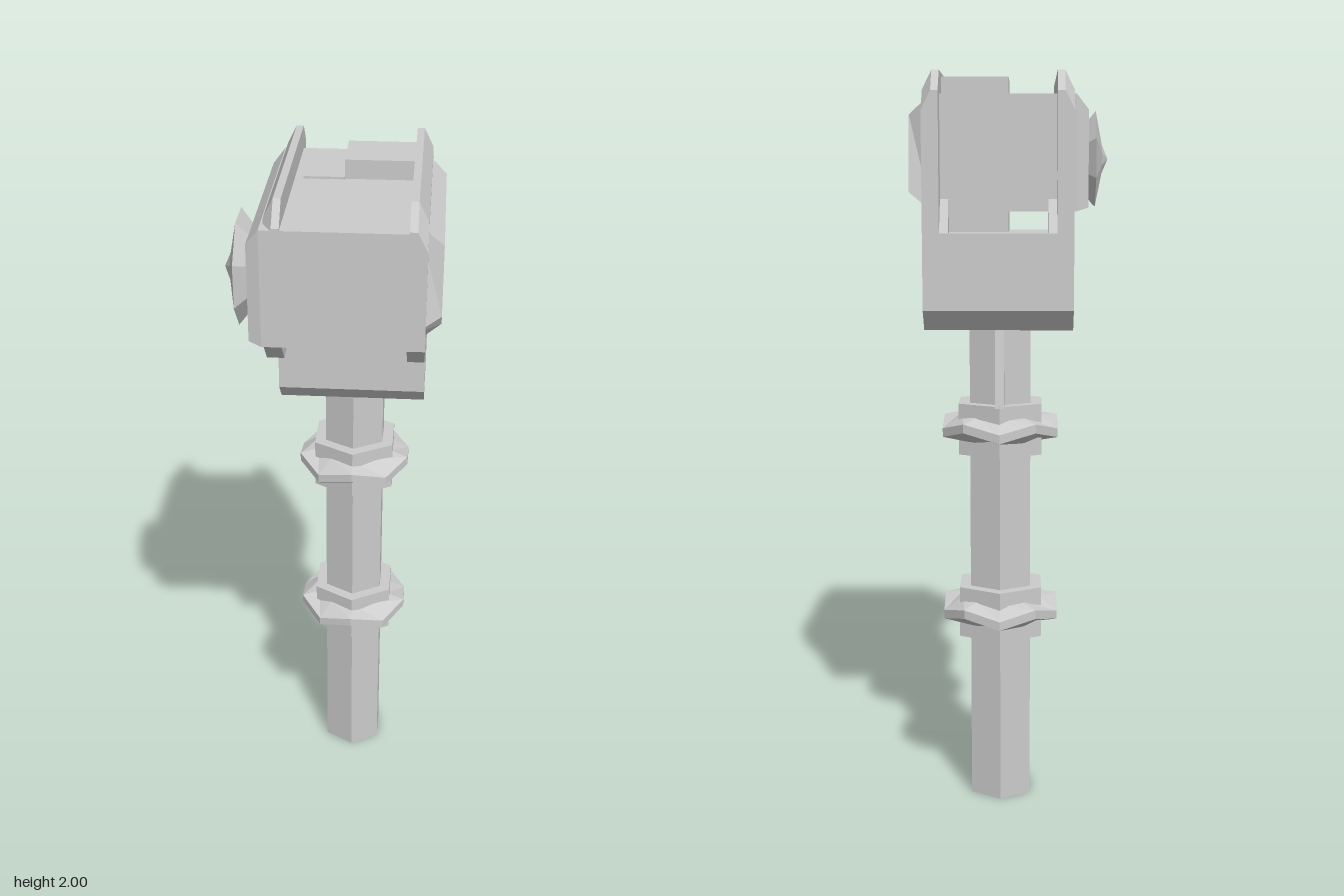
import * as THREE from 'three';

const material = new THREE.MeshStandardMaterial({ color: 0xcccccc, flatShading: true });
const openMaterial = new THREE.MeshStandardMaterial({ color: 0xcccccc, flatShading: true, side: THREE.DoubleSide });

const POLE = { x: 0.033, z: -0.165 };

function add(parent, name, geometry, mat = material) {
  const mesh = new THREE.Mesh(geometry, mat);
  mesh.name = name;
  parent.add(mesh);
  return mesh;
}

function box(x0, x1, y0, y1, z0, z1) {
  return new THREE.BoxGeometry(x1 - x0, y1 - y0, z1 - z0)
    .translate((x0 + x1) / 2, (y0 + y1) / 2, (z0 + z1) / 2);
}

// Skin counter-clockwise [z, y] outlines along increasing x, with capped ends.
function loft(sections) {
  const n = sections[0].outline.length;
  const positions = [], index = [];
  for (const { x, outline } of sections) for (const [z, y] of outline) positions.push(x, y, z);
  for (let s = 0; s < sections.length - 1; s++) {
    for (let i = 0; i < n; i++) {
      const a = s * n + i, b = s * n + (i + 1) % n;
      index.push(a, a + n, b, b, a + n, b + n);
    }
  }
  const cap = (section, offset, flip) => {
    const points = section.outline.map(([z, y]) => new THREE.Vector2(z, y));
    for (const [a, b, c] of THREE.ShapeUtils.triangulateShape(points, [])) {
      index.push(offset + a, offset + (flip ? c : b), offset + (flip ? b : c));
    }
  };
  cap(sections[0], 0, false);
  cap(sections[sections.length - 1], (sections.length - 1) * n, true);
  const geometry = new THREE.BufferGeometry();
  geometry.setAttribute('position', new THREE.Float32BufferAttribute(positions, 3));
  geometry.setIndex(index);
  const flat = geometry.toNonIndexed();
  flat.computeVertexNormals();
  return flat;
}

const rectangle = (z0, z1, y0, y1) => [[z0, y0], [z1, y0], [z1, y1], [z0, y1]];

// Faceted flange whose outer rim zigzags up and down.
function flangeGeometry() {
  const profile = [[0.11, -0.035], [0.165, -0.012], [0.165, 0.012], [0.11, 0.035]];
  const geometry = new THREE.LatheGeometry(profile.map(([r, y]) => new THREE.Vector2(r, y)), 10);
  const p = geometry.attributes.position;
  for (let i = 0; i < p.count; i++) {
    const ring = Math.floor(i / profile.length), row = i % profile.length;
    if (row === 1 || row === 2) p.setY(i, p.getY(i) + (ring % 2 ? -0.012 : 0.012));
  }
  return geometry;
}

export function createModel() {
  const model = new THREE.Group();
  model.name = 'poleMountedCamera';

  // Hollow hexagonal pole
  const pole = new THREE.Group();
  pole.name = 'pole';
  pole.position.set(POLE.x, 0, POLE.z);
  model.add(pole);
  add(pole, 'poleShaft', new THREE.CylinderGeometry(0.095, 0.095, 1.335, 6, 1, true).translate(0, 0.6675, 0), openMaterial);

  // Two collars, each with a zigzag flange
  for (const y of [0.54, 1.055]) {
    add(pole, 'collar', new THREE.CylinderGeometry(0.13, 0.13, 0.14, 6)).position.y = y;
    add(pole, 'collarFlange', flangeGeometry()).position.y = y;
  }

  // Rear fin tapering up the pole
  add(pole, 'poleFin', loft([
    { x: -0.012, outline: [[-0.13, 1.12], [-0.08, 1.12], [-0.08, 1.33], [-0.096, 1.33]] },
    { x: 0.012, outline: [[-0.13, 1.12], [-0.08, 1.12], [-0.08, 1.33], [-0.096, 1.33]] },
  ]));

  // Chamfered mounting block under the head
  const blockOutline = [[-0.285, 1.33], [0, 1.33], [0.05, 1.38], [0.05, 1.585], [-0.335, 1.585], [-0.335, 1.385]];
  add(model, 'mountBlock', loft([
    { x: -0.16, outline: blockOutline },
    { x: 0.23, outline: blockOutline },
  ]));

  // L-shaped side plates with a bevel along the outer top edge
  const plateOutline = [
    [-0.285, 1.33], [0, 1.33], [0.05, 1.38], [0.05, 1.585], [0.285, 1.585], [0.34, 1.64],
    [0.34, 1.945], [0.285, 2], [-0.28, 2], [-0.335, 1.945], [-0.335, 1.385],
  ];
  const bevelled = plateOutline.map(([z, y]) => [z, y > 1.9 ? y - 0.05 : y]);
  add(model, 'rightSidePlate', loft([
    { x: -0.162, outline: bevelled },
    { x: -0.137, outline: plateOutline },
    { x: -0.118, outline: plateOutline },
  ]));
  add(model, 'leftSidePlate', loft([
    { x: 0.188, outline: plateOutline },
    { x: 0.207, outline: plateOutline },
    { x: 0.232, outline: bevelled },
  ]));

  // Main housing, slightly chamfered on its right side
  const housing = rectangle(-0.275, 0.34, 1.64, 1.94);
  add(model, 'housing', loft([
    { x: -0.2, outline: rectangle(-0.265, 0.33, 1.65, 1.9) },
    { x: -0.168, outline: housing },
    { x: 0.21, outline: housing },
  ]));

  // Tapered access panel on the left side
  add(model, 'leftPanel', loft([
    { x: 0.21, outline: [[-0.275, 1.64], [0.29, 1.645], [0.338, 1.69], [0.285, 1.94], [-0.275, 1.94]] },
    { x: 0.27, outline: [[-0.272, 1.69], [0.26, 1.68], [0.285, 1.71], [0.275, 1.89], [-0.24, 1.89]] },
  ]));

  // Faceted knob on the right side
  const knobProfile = [[0, -0.01], [0.1, 0], [0.145, 0.035], [0.045, 0.055], [0, 0.073]];
  const knob = add(model, 'sideKnob', new THREE.LatheGeometry(
    knobProfile.map(([r, y]) => new THREE.Vector2(r, y)), 8, Math.PI / 8));
  knob.rotation.z = Math.PI / 2;
  knob.position.set(-0.2, 1.785, 0.185);

  // Cross strap raised above and below the housing
  add(model, 'strap', box(0.01, 0.19, 1.585, 1.99, -0.19, -0.035));
  add(model, 'strapTab', box(-0.095, 0.01, 1.9, 1.946, -0.18, -0.03));

  // Small gussets in the rear lower corners
  const gusset = [[-0.33, 1.585], [-0.27, 1.585], [-0.27, 1.68]];
  for (const x of [-0.12, 0.165]) {
    add(model, 'rearGusset', loft([{ x, outline: gusset }, { x: x + 0.025, outline: gusset }]));
  }

  return model;
}
